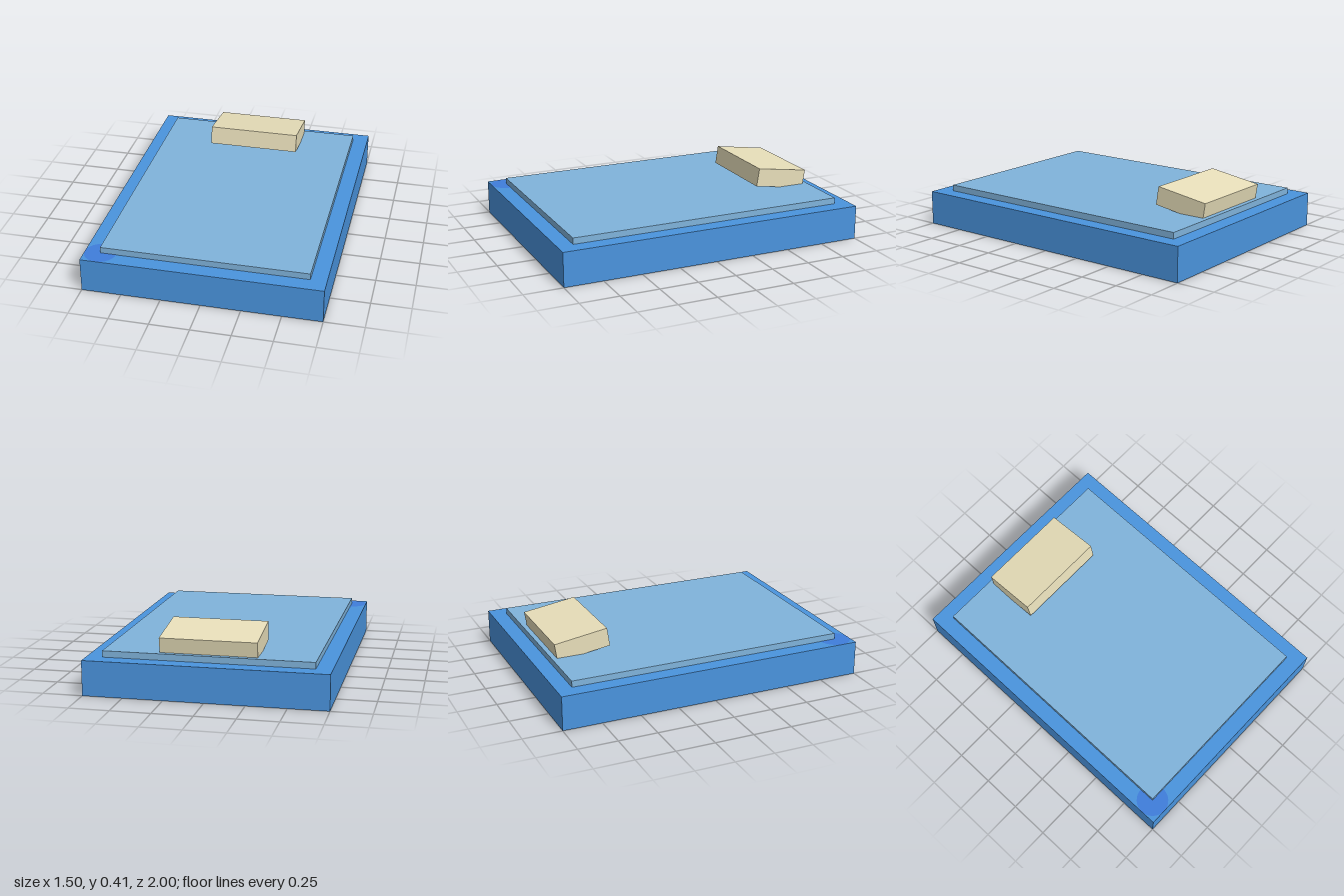
import * as THREE from 'three';

export function createModel() {
  const group = new THREE.Group();

  function add(name, geometry, color, x, y, z) {
    const mesh = new THREE.Mesh(geometry, new THREE.MeshStandardMaterial({ color }));
    mesh.name = name;
    mesh.position.set(x, y, z);
    group.add(mesh);
    return mesh;
  }

  // Mattress block standing on the ground
  add('mattress', new THREE.BoxGeometry(1.5, 0.22, 2), 0x4a94de, 0, 0.11, 0);

  // Thin blanket lying on the mattress
  add('blanket', new THREE.BoxGeometry(1.3, 0.04, 1.8), 0x80b4dc, 0, 0.24, 0);

  // Pillow at the head end, its front edge tipped up
  const pillow = add('pillow', new THREE.BoxGeometry(0.6, 0.12, 0.35), 0xe8dfba, 0, 0.32, -0.7);
  pillow.rotation.x = -0.15;

  // Round patch flush with the mattress top at the front right corner
  const patch = add('cornerPatch', new THREE.CircleGeometry(0.1, 32), 0x3f7edb, -0.65, 0.221, 0.9);
  patch.rotation.x = -Math.PI / 2;

  return group;
}
